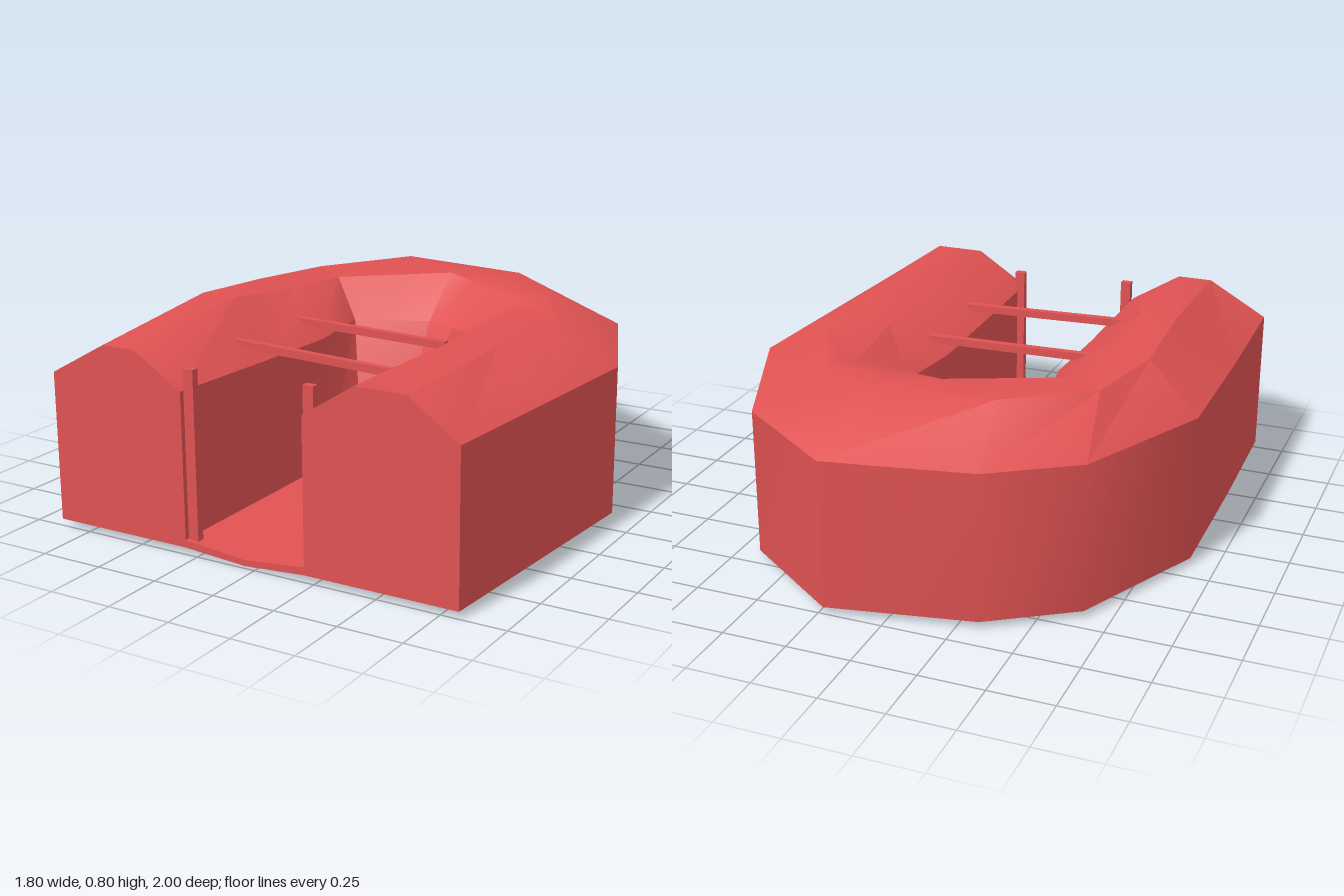
import * as THREE from 'three';
import { toCreasedNormals } from 'three/addons/utils/BufferGeometryUtils.js';

const BASE = 0.03;
const material = new THREE.MeshStandardMaterial({ color: 0xe05252 });

// Skins a list of closed cross-sections and caps both ends
function loft(sections) {
  const n = sections[0].length, last = sections.length - 1, index = [];
  sections.forEach((_, i) => {
    if (i === last) return;
    for (let j = 0; j < n; j++) {
      const a = i * n + j, b = i * n + (j + 1) % n;
      index.push(a, a + n, b + n, a, b + n, b);
    }
  });
  for (let k = 1; k < n - 1; k++) {
    index.push(0, k, k + 1);
    index.push(last * n, last * n + k + 1, last * n + k);
  }
  const geometry = new THREE.BufferGeometry();
  geometry.setAttribute('position', new THREE.Float32BufferAttribute(sections.flat(2), 3));
  geometry.setIndex(index);
  return toCreasedNormals(geometry, 0.62);
}

function addMesh(group, name, geometry, position = [0, 0, 0]) {
  const mesh = new THREE.Mesh(geometry, material);
  mesh.name = name;
  mesh.position.set(...position);
  group.add(mesh);
  return mesh;
}

export function createModel() {
  const group = new THREE.Group();
  group.name = 'trenchShelter';

  // U-shaped bank: outer wall [x,z], outer crest, inner crest, inner wall top [x,y,z], inner wall foot [x,z]
  const stations = [
    [[0.82, 1], [0.62, 0.75, 1], [0.42, 0.75, 1], [0.21, 0.615, 1], [0.21, 1]],
    [[0.86, 0.45], [0.62, 0.755, 0.35], [0.43, 0.75, 0.35], [0.205, 0.61, 0.45], [0.205, 0.45]],
    [[0.9, -0.1], [0.64, 0.75, -0.1], [0.41, 0.745, 0], [0.2, 0.61, 0.1], [0.2, 0.1]],
    [[0.65, -0.7], [0.43, 0.75, -0.5], [0.37, 0.735, -0.38], [0.23, 0.62, -0.22], [0.15, -0.1]],
    [[0.23, -1], [0.2, 0.775, -0.69], [0.1, 0.765, -0.48], [0.1, 0.615, -0.285], [0.1, -0.14]],
    [[-0.33, -0.89], [-0.31, 0.795, -0.67], [-0.04, 0.78, -0.53], [-0.04, 0.61, -0.35], [-0.1, -0.14]],
    [[-0.65, -0.68], [-0.6, 0.77, -0.4], [-0.45, 0.76, -0.3], [-0.32, 0.61, -0.22], [-0.22, -0.1]],
    [[-0.9, -0.15], [-0.68, 0.775, -0.05], [-0.48, 0.77, 0], [-0.27, 0.61, 0.1], [-0.27, 0.1]],
    [[-0.895, 0.45], [-0.67, 0.8, 0.35], [-0.52, 0.8, 0.35], [-0.285, 0.61, 0.45], [-0.285, 0.45]],
    [[-0.88, 1], [-0.64, 0.745, 1], [-0.5, 0.745, 1], [-0.3, 0.62, 1], [-0.3, 1]],
  ];
  addMesh(group, 'earthBank', loft(stations.map(([o, crestOut, crestIn, wallTop, foot]) => [
    [o[0], BASE, o[1]], [o[0], 0.61, o[1]], crestOut, crestIn, wallTop, [foot[0], BASE, foot[1]],
  ])));

  // Shallow V-shaped floor: z, left x, right x, top edge, top middle, underside middle
  const floor = [
    [1, -0.3, 0.21, 0.06, 0.035, 0.012],
    [0.16, -0.27, 0.2, 0.08, 0.06, 0.003],
    [0.06, -0.26, 0.19, 0.085, 0.07, BASE],
    [-0.1, -0.22, 0.15, 0.1, 0.095, BASE + 0.005],
    [-0.145, -0.1, 0.1, 0.1, 0.1, BASE + 0.005],
  ];
  addMesh(group, 'trenchFloor', loft(floor.map(([z, l, r, edge, mid, under]) => [
    [-0.04, under, z], [r, BASE, z], [r, edge, z], [-0.04, mid, z], [l, edge, z], [l, BASE, z],
  ])));

  // Cross beams spanning the trench
  for (const [x, z, length, tilt] of [[-0.045, 0.12, 0.67, -0.02], [-0.055, 0.53, 0.69, -0.03]]) {
    const beam = addMesh(group, 'crossBeam', new THREE.BoxGeometry(length, 0.03, 0.028), [x, 0.67, z]);
    beam.rotation.z = tilt;
  }

  // Posts at the entrance
  for (const [x, z] of [[-0.275, 0.97], [0.198, 0.925]]) {
    addMesh(group, 'entrancePost', new THREE.BoxGeometry(0.042, 0.67, 0.03), [x, 0.367, z]);
  }
  return group;
}
